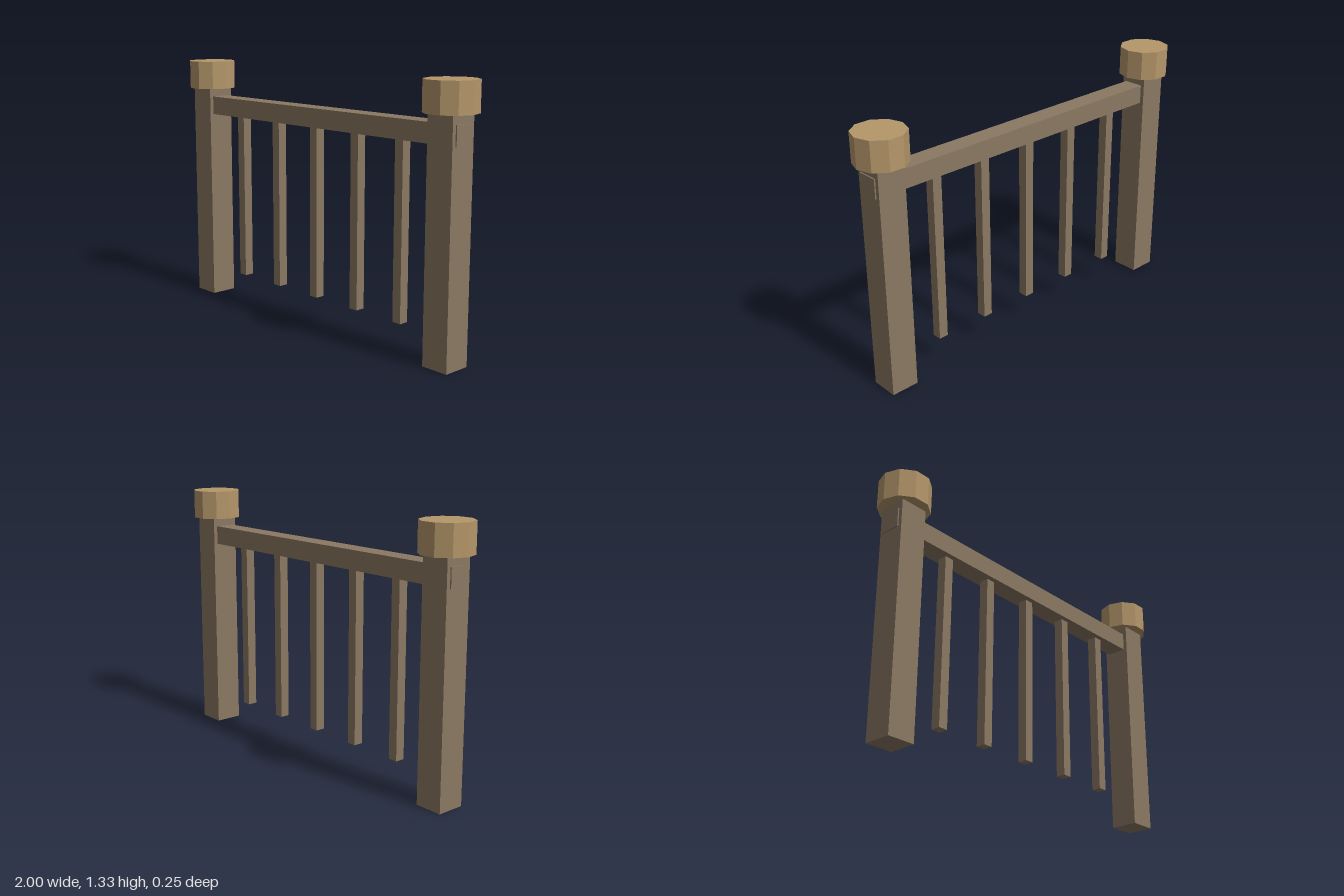
import * as THREE from 'three';

export function createModel() {
  const model = new THREE.Group();
  model.name = 'fenceSection';

  const darkWood = new THREE.MeshStandardMaterial({ color: 0x8b7862, flatShading: true });
  darkWood.name = 'weathered brown wood';
  const paleWood = new THREE.MeshStandardMaterial({ color: 0xb5976a, flatShading: true });
  paleWood.name = 'pale tan wood';

  const add = (name, geometry, material, x, y) => {
    const mesh = new THREE.Mesh(geometry, material);
    mesh.name = name;
    mesh.position.set(x, y, 0);
    model.add(mesh);
    return mesh;
  };

  // Square end posts with ten-sided caps
  const postGeometry = new THREE.BoxGeometry(0.145, 1.18, 0.145);
  const capGeometry = new THREE.CylinderGeometry(0.129, 0.129, 0.15, 10);
  capGeometry.rotateY(Math.PI / 2);
  for (const [side, sign] of [['left', 1], ['right', -1]]) {
    add(side + 'Post', postGeometry, darkWood, sign * 0.871, 0.59);
    add(side + 'PostCap', capGeometry, paleWood, sign * 0.871, 1.255);
  }

  // Handrail, its ends poking just through the posts
  add('handrail', new THREE.BoxGeometry(1.9, 0.098, 0.104), darkWood, 0, 1.087);

  // Slim balusters hanging below the rail
  const balusterGeometry = new THREE.BoxGeometry(0.05, 0.9, 0.05);
  for (let i = -2; i <= 2; i++) {
    add('baluster' + (i + 3), balusterGeometry, darkWood, i * 0.2935, 0.597);
  }

  return model;
}
